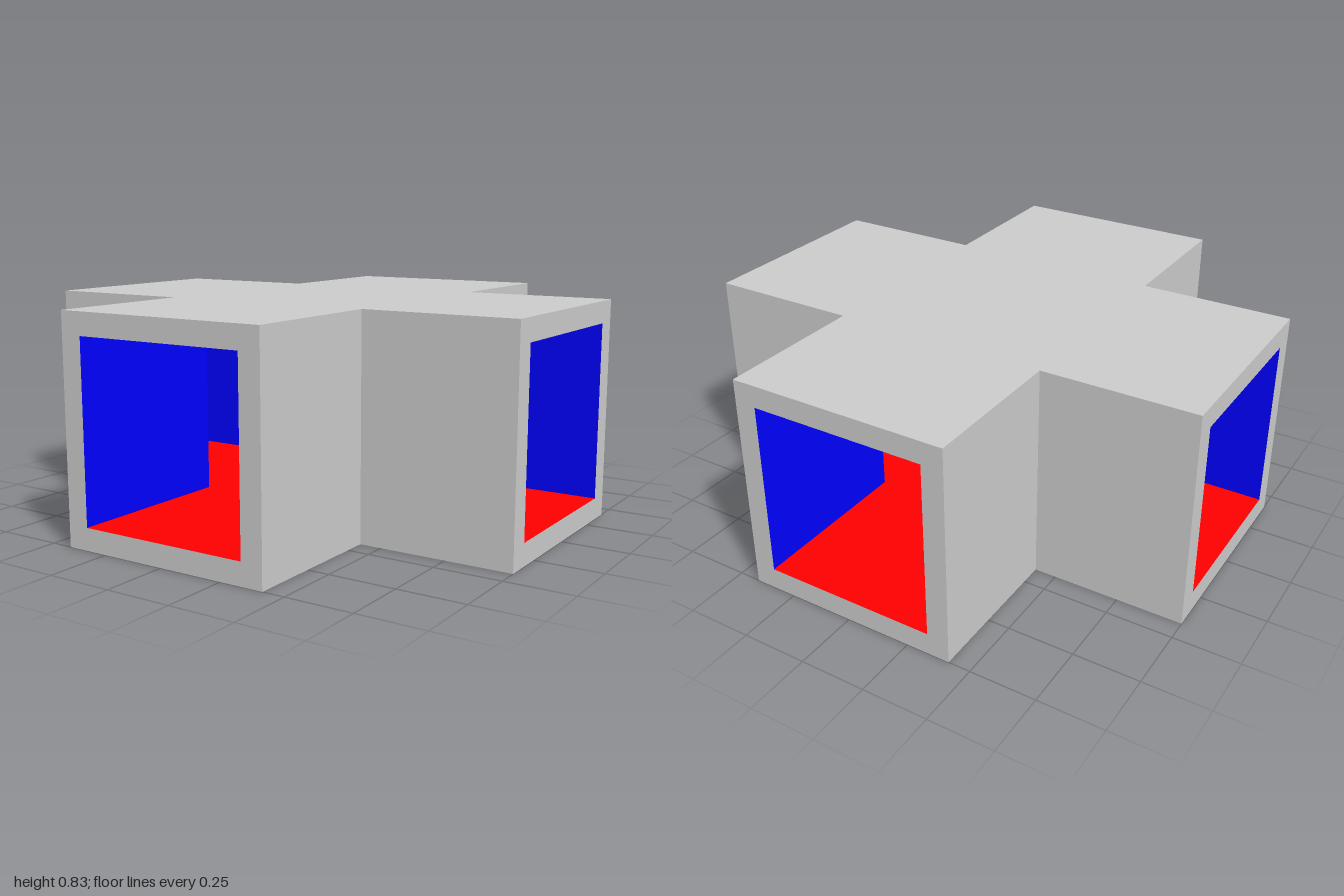
import * as THREE from 'three';

const HALF = 0.4167;          // outer half width of an arm
const WALL = 0.0833;          // shell thickness
const INNER = HALF - WALL;    // half width of the passage
const HEIGHT = 2 * HALF;

const mat = (color) => new THREE.MeshStandardMaterial({ color, flatShading: true });

// Plus-shaped outline with arms reaching to 1
function crossShape(w) {
  const pts = [];
  for (let k = 0; k < 4; k++) {
    const a = (k * Math.PI) / 2;
    for (const [x, y] of [[1, -w], [1, w], [w, w]]) {
      pts.push(new THREE.Vector2(x, y).rotateAround(new THREE.Vector2(), a));
    }
  }
  return new THREE.Shape(pts);
}

function squareShape(w, Type) {
  return new Type([[-w, -w], [w, -w], [w, w], [-w, w]].map(([x, y]) => new THREE.Vector2(x, y)));
}

export function createModel() {
  const model = new THREE.Group();
  model.name = 'crossTunnel';
  const grey = mat(0xcccccc), red = mat(0xff0000), yellow = mat(0xffff00), blue = mat(0x0000ff);

  function add(parent, name, geometry, material) {
    const mesh = new THREE.Mesh(geometry, material);
    mesh.name = name;
    parent.add(mesh);
    return mesh;
  }

  // Horizontal cross faces: dir 1 faces up, -1 faces down
  function slab(name, w, y, dir, material) {
    const mesh = add(model, name, new THREE.ShapeGeometry(crossShape(w)), material);
    mesh.rotation.x = (-dir * Math.PI) / 2;
    mesh.position.y = y;
  }
  slab('roof', HALF, HEIGHT, 1, grey);
  slab('underside', HALF, 0, -1, grey);
  slab('passageFloor', INNER, WALL, 1, red);
  slab('passageCeiling', INNER, HEIGHT - WALL, -1, yellow);

  // Square frame around each opening
  const rim = squareShape(HALF, THREE.Shape);
  rim.holes.push(squareShape(INNER, THREE.Path));
  const rimGeometry = new THREE.ShapeGeometry(rim);

  // Four identical arms, each with a rim, outer walls and passage walls
  for (let k = 0; k < 4; k++) {
    const arm = new THREE.Group();
    arm.name = 'arm' + (k + 1);
    arm.rotation.y = (k * Math.PI) / 2;
    model.add(arm);

    add(arm, 'openingRim', rimGeometry, grey).position.set(0, HALF, 1);

    for (const side of [-1, 1]) {
      const outer = add(arm, 'outerWall', new THREE.PlaneGeometry(1 - HALF, HEIGHT), grey);
      outer.position.set(side * HALF, HALF, (1 + HALF) / 2);
      outer.rotation.y = (side * Math.PI) / 2;

      const inner = add(arm, 'passageWall', new THREE.PlaneGeometry(1 - INNER, 2 * INNER), blue);
      inner.position.set(side * INNER, HALF, (1 + INNER) / 2);
      inner.rotation.y = (-side * Math.PI) / 2;
    }
  }
  return model;
}
